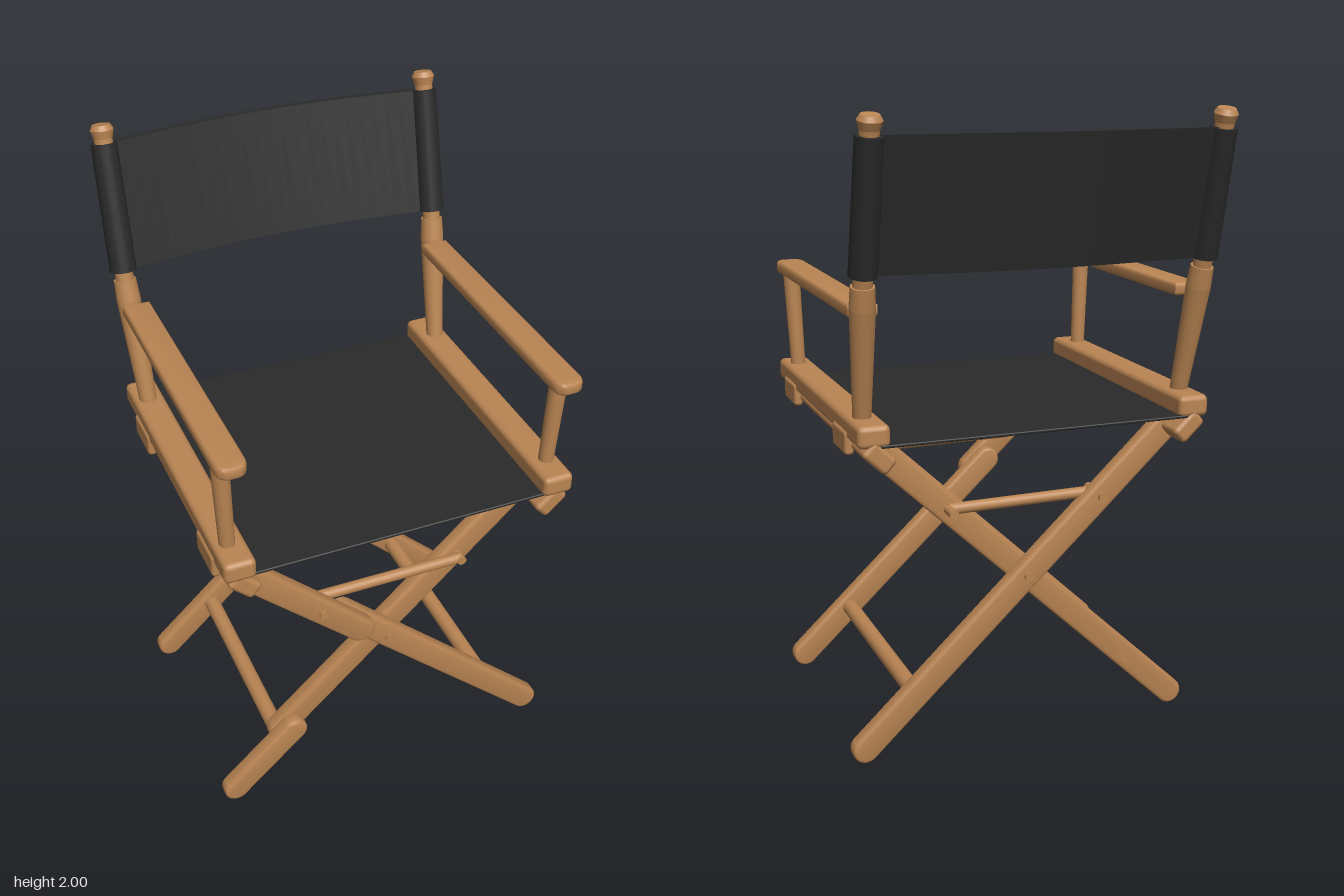
import * as THREE from 'three';
import { toCreasedNormals } from 'three/addons/utils/BufferGeometryUtils.js';
import { RoundedBoxGeometry } from 'three/addons/geometries/RoundedBoxGeometry.js';

export function createModel() {
  const chair = new THREE.Group();
  chair.name = 'foldingChair';
  const wood = new THREE.MeshStandardMaterial({ name: 'wood', color: 0xba8553 });
  const cloth = new THREE.MeshStandardMaterial({ name: 'blackCanvas', color: 0x2a2a2a });

  const add = (name, geometry, material = wood) => {
    const mesh = new THREE.Mesh(geometry, material);
    mesh.name = name;
    chair.add(mesh);
    return mesh;
  };
  const block = (name, size, pos, r = 0.012, material = wood) => {
    const mesh = add(name, new RoundedBoxGeometry(...size, 2, r), material);
    mesh.position.set(...pos);
    return mesh;
  };
  // Round bar between two points
  const rod = (name, a, b, rA, rB = rA, material = wood) => {
    const from = new THREE.Vector3(...a), to = new THREE.Vector3(...b);
    const dir = to.clone().sub(from);
    const mesh = add(name, new THREE.CylinderGeometry(rB, rA, dir.length(), 20), material);
    mesh.position.copy(from).add(to).multiplyScalar(0.5);
    mesh.quaternion.setFromUnitVectors(new THREE.Vector3(0, 1, 0), dir.normalize());
    return mesh;
  };

  // Flat slat with round ends on the leg line; side gives the foot's x sign
  const SLOPE = 0.94;
  const legX = (y, side) => side * (0.55 - y) / SLOPE;
  const slat = (name, side, y0, y1, z) => {
    const r = 0.032, bevel = 0.01, depth = 0.03;
    const x0 = legX(y0, side), x1 = legX(y1, side);
    const len = Math.hypot(x1 - x0, y1 - y0);
    const shape = new THREE.Shape();
    shape.absarc(len, 0, r, -Math.PI / 2, Math.PI / 2, false);
    shape.absarc(0, 0, r, Math.PI / 2, Math.PI * 1.5, false);
    const geo = new THREE.ExtrudeGeometry(shape, {
      depth, bevelThickness: bevel, bevelSize: bevel, bevelSegments: 3, curveSegments: 10,
    });
    geo.translate(0, 0, -depth / 2);
    const mesh = add(name, toCreasedNormals(geo, 0.7));
    mesh.position.set(x0, y0, z);
    mesh.rotation.z = Math.atan2(y1 - y0, x1 - x0);
  };

  // Crossed legs; the front pair is made of overlapping lengths
  slat('frontLegLower', 1, 0.042, 0.70, 0.46);
  slat('frontLegUpper', 1, 0.66, 1.0, 0.51);
  slat('frontCrossLegFoot', -1, 0.042, 0.24, 0.46);
  slat('frontCrossLeg', -1, 0.21, 1.0, 0.415);
  slat('backLeg', 1, 0.042, 1.0, -0.325);
  slat('backCrossLeg', -1, 0.042, 1.0, -0.275);

  // Folding braces and pivot pins
  rod('frontBrace', [-0.25, 0.79, 0.46], [0.25, 0.785, 0.46], 0.018);
  rod('backBrace', [-0.25, 0.79, -0.3], [0.25, 0.785, -0.3], 0.018);
  rod('crossPinFront', [0, 0.55, 0.375], [0, 0.55, 0.49], 0.015);
  rod('crossPinBack', [0, 0.55, -0.36], [0, 0.55, -0.24], 0.015);
  rod('bracePin', [-0.25, 0.785, 0.45], [-0.25, 0.785, 0.545], 0.015);
  rod('bracePin', [0.25, 0.785, 0.38], [0.25, 0.785, 0.48], 0.015);
  for (const s of [-1, 1]) rod('bracePinBack', [s * 0.25, 0.785, -0.36], [s * 0.25, 0.785, -0.24], 0.015);

  // Seat canvas
  block('seat', [1.0, 0.01, 1.0], [0, 1.045, 0.06], 0.004, cloth);

  const postZ = y => -0.312 - 0.235 * (y - 1.07);
  const postX = y => 0.523 + 0.018 * (y - 1.07) / 0.45;
  const postPoint = (s, y) => [s * Math.min(postX(y), 0.541), y, postZ(y)];

  for (const s of [-1, 1]) {
    const side = s > 0 ? 'left' : 'right';

    // Seat rails and stretcher
    block(side + 'SeatRail', [0.1, 0.07, 1.015], [s * 0.52, 1.075, 0.067], 0.018);
    const lower = block(side + 'LowerRail', [0.1, 0.06, 1.01], [s * 0.505, 1.01, 0.063], 0.015);
    lower.rotation.z = s * Math.atan(SLOPE);
    rod(side + 'Stretcher', [legX(0.2, s) * s * s, 0.2, -0.3], [legX(0.2, s), 0.2, 0.44], 0.027);

    // Pivot blocks beside the rails
    for (const z of [0.4, -0.24]) block(side + 'PivotBlock', [0.03, 0.075, 0.15], [s * 0.562, 1.03, z], 0.012);

    // Armrest: plan outline with a rounded front, thick edges softened
    const plan = new THREE.Shape();
    plan.moveTo(-0.035, -0.35);
    plan.lineTo(0.035, -0.35);
    plan.lineTo(0.037, 0.53);
    plan.quadraticCurveTo(0.036, 0.565, 0.01, 0.565);
    plan.lineTo(-0.01, 0.565);
    plan.quadraticCurveTo(-0.036, 0.565, -0.037, 0.53);
    const armGeo = new THREE.ExtrudeGeometry(plan, {
      depth: 0.02, bevelThickness: 0.01, bevelSize: 0.01, bevelSegments: 3, curveSegments: 6,
    });
    armGeo.rotateX(Math.PI / 2);
    const arm = add(side + 'Armrest', toCreasedNormals(armGeo, 0.7));
    arm.position.set(s * 0.526, 1.445, 0);
    rod(side + 'ArmPost', [s * 0.525, 1.08, 0.47], [s * 0.538, 1.42, 0.478], 0.024, 0.028);

    // Back post: tapered lower part, thin neck, knob on top
    rod(side + 'BackPost', postPoint(s, 1.07), postPoint(s, 1.45), 0.027, 0.039);
    rod(side + 'BackPostCollar', postPoint(s, 1.45), postPoint(s, 1.515), 0.039, 0.036);
    rod(side + 'BackPostNeck', postPoint(s, 1.51), postPoint(s, 1.96), 0.029);
    rod(side + 'Knob', postPoint(s, 1.955), postPoint(s, 1.98), 0.03, 0.037);
    rod(side + 'KnobTop', postPoint(s, 1.98), postPoint(s, 1.995), 0.037, 0.028);

    // Canvas sleeve around the post
    rod(side + 'BackSleeve', postPoint(s, 1.545), postPoint(s, 1.94), 0.043, 0.041, cloth);
  }

  // Back canvas: bowed strip, leaned back by a shear
  const bow = x => 0.048 * Math.cos((x / 0.54) * Math.PI / 2);
  const outline = [];
  for (let i = 0; i <= 24; i++) {
    const x = -0.54 + i * 0.045;
    outline.push(new THREE.Vector2(x, bow(x) - 0.01));
  }
  for (let i = 24; i >= 0; i--) outline.push(new THREE.Vector2(outline[i].x, outline[i].y + 0.02));
  const backGeo = new THREE.ExtrudeGeometry(new THREE.Shape(outline), { depth: 0.395, bevelEnabled: false });
  backGeo.rotateX(-Math.PI / 2);
  const p = backGeo.attributes.position;
  for (let i = 0; i < p.count; i++) {
    const y = p.getY(i) + 1.545;
    p.setXYZ(i, p.getX(i), y, p.getZ(i) + postZ(y));
  }
  add('backrest', toCreasedNormals(backGeo, 0.7), cloth);

  return chair;
}
